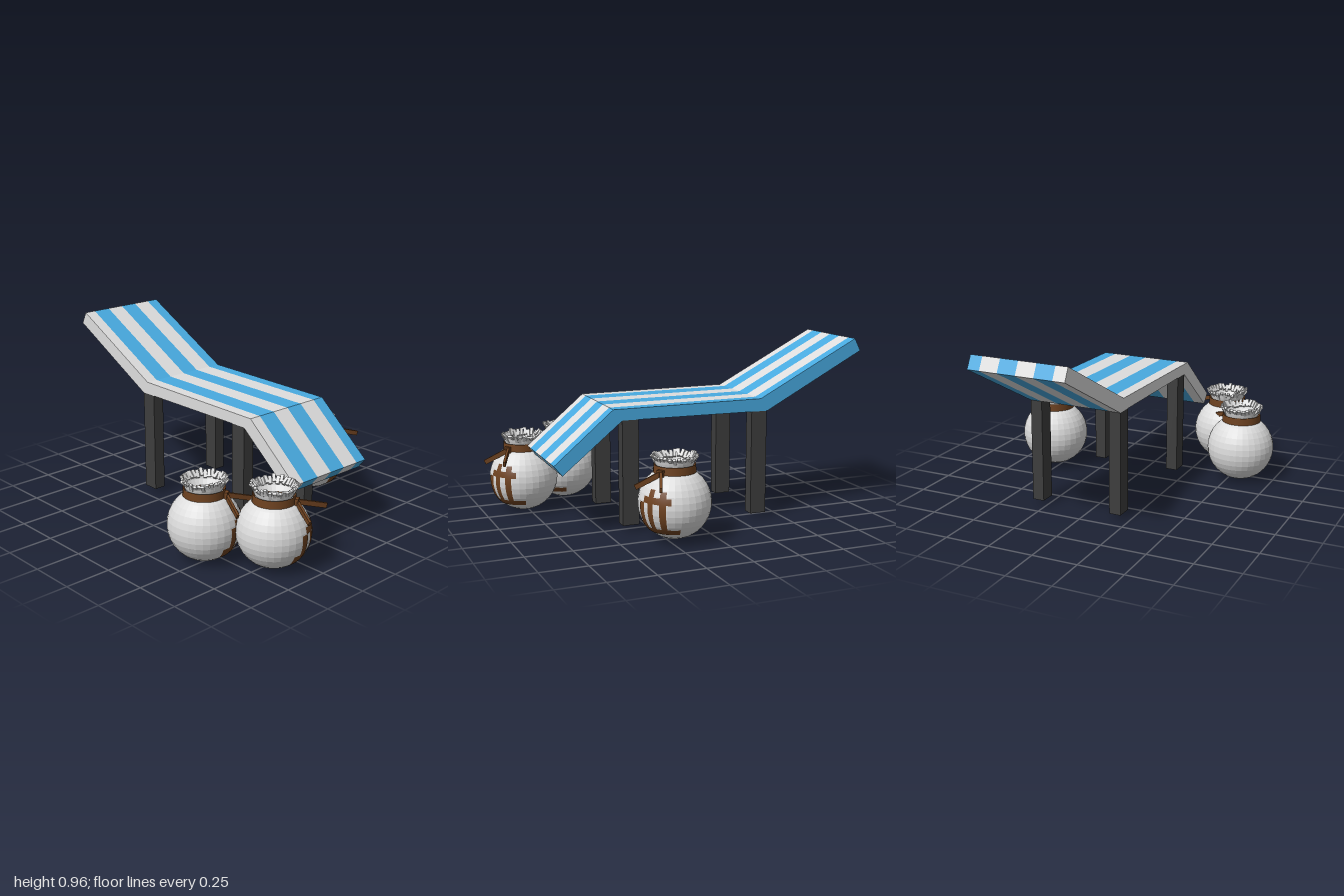
import * as THREE from 'three';

const mat = (name, color, side = THREE.FrontSide) => {
  const m = new THREE.MeshStandardMaterial({ color, side });
  m.name = name;
  return m;
};

export function createModel() {
  const white = mat('canvas white', 0xdedede);
  const blue = mat('canvas blue', 0x48aae0);
  const dark = mat('leg charcoal', 0x3e3e3e);
  const clay = mat('pot white', 0xdcdcdc, THREE.DoubleSide);
  const brown = mat('tie brown', 0x6e4220, THREE.DoubleSide);
  clay.flatShading = true;

  const add = (parent, name, geometry, material) => {
    const mesh = new THREE.Mesh(geometry, material);
    mesh.name = name;
    parent.add(mesh);
    return mesh;
  };
  let seed = 7;
  const rand = () => (seed = (seed * 16807) % 2147483647) / 2147483647;
  const rad = THREE.MathUtils.degToRad;

  const model = new THREE.Group();
  model.name = 'sunLoungerWithPots';

  // Lounger, turned very slightly
  const lounger = new THREE.Group();
  lounger.name = 'lounger';
  lounger.position.x = 0.055;
  lounger.rotation.y = -0.0175;
  model.add(lounger);

  // Bent slab cut lengthwise into stripes; profile points are (z, y)
  const profile = [
    [0.78, 0.39], [0.735, 0.335], [0.41, 0.6], [-0.42, 0.595],
    [-0.992, 0.897], [-0.957, 0.965], [-0.38, 0.664], [0.46, 0.66],
  ];
  const slab = new THREE.Shape(profile.map(([z, y]) => new THREE.Vector2(-z, y)));
  const edges = [-0.268, -0.202, -0.1, 0, 0.1, 0.2, 0.268];
  for (let i = 0; i < 6; i++) {
    const g = new THREE.ExtrudeGeometry(slab, { depth: edges[i + 1] - edges[i], bevelEnabled: false });
    g.rotateY(Math.PI / 2);
    g.translate(edges[i], 0, 0);
    add(lounger, 'stripe', g, i % 2 ? blue : white);
  }

  // Four square legs
  for (const side of [-1, 1]) {
    for (const [name, z, foot] of [['frontLeg', 0.367, 0.038], ['backLeg', -0.372, 0.027]]) {
      const top = 0.615;
      add(lounger, name, new THREE.BoxGeometry(0.066, top - foot, 0.09), dark)
        .position.set(side * 0.234, (top + foot) / 2, z);
    }
  }

  // Painted bands on each pot: azimuth from/to, elevation from/to (degrees)
  const bands = [
    [2, 14, -34, 8], [22, 32, -34, 30], [43, 54, -34, 28],
    [12, 62, 8, 18], [-10, 78, -46, -34], [-10, 2, -34, -24],
  ];

  // Flat strip of cloth between two points
  const strap = (parent, a, b) => {
    const from = new THREE.Vector3(...a), to = new THREE.Vector3(...b);
    const s = add(parent, 'tieEnd', new THREE.BoxGeometry(0.013, 0.026, from.distanceTo(to)), brown);
    s.position.copy(from).add(to).multiplyScalar(0.5);
    s.lookAt(to);
  };

  const makePot = (x, y, z) => {
    const pot = new THREE.Group();
    pot.name = 'pot';
    add(pot, 'body', new THREE.SphereGeometry(0.19, 32, 18), clay);

    for (const [a0, a1, e0, e1] of bands) {
      add(pot, 'paintedBand', new THREE.SphereGeometry(0.192,
        Math.ceil((a1 - a0) / 5), Math.ceil((e1 - e0) / 5),
        rad(a0 + 90), rad(a1 - a0), rad(90 - e1), rad(e1 - e0)), brown);
    }

    // Neck tie with knot and two loose ends
    add(pot, 'neckTie', new THREE.CylinderGeometry(0.108, 0.11, 0.042, 28, 1, true), brown)
      .position.y = 0.179;
    const knot = [0.055, 0.168, 0.098];
    add(pot, 'knot', new THREE.BoxGeometry(0.035, 0.034, 0.025), brown).position.set(...knot);
    pot.children.at(-1).rotation.y = rad(30);
    strap(pot, knot, [0.017, 0.1, 0.222]);
    strap(pot, knot, [0.207, 0.122, 0.16]);

    // Gathered mouth: flared collar ringed by little leaning pleats
    const collar = [[0.082, 0.172], [0.1, 0.2], [0.104, 0.212], [0.11, 0.235]];
    add(pot, 'collar', new THREE.LatheGeometry(collar.map((p) => new THREE.Vector2(...p)), 28), clay);
    const count = 32;
    for (let i = 0; i < count; i++) {
      const a = (i / count) * Math.PI * 2;
      const r = 0.104 + (rand() - 0.5) * 0.006;
      const pleat = add(pot, 'pleat', new THREE.BoxGeometry(0.017, 0.042, 0.014), clay);
      pleat.position.set(Math.sin(a) * r, 0.23 + (rand() - 0.5) * 0.014, Math.cos(a) * r);
      pleat.rotation.order = 'YXZ';
      pleat.rotation.set(0.65 + (rand() - 0.5) * 0.5, a, (rand() - 0.5) * 0.4);
    }
    pot.position.set(x, y, z);
    model.add(pot);
  };
  makePot(-0.555, 0.19, 0.47);
  makePot(-0.362, 0.19, 0.765);
  makePot(0.53, 0.204, 0.215);

  return model;
}
